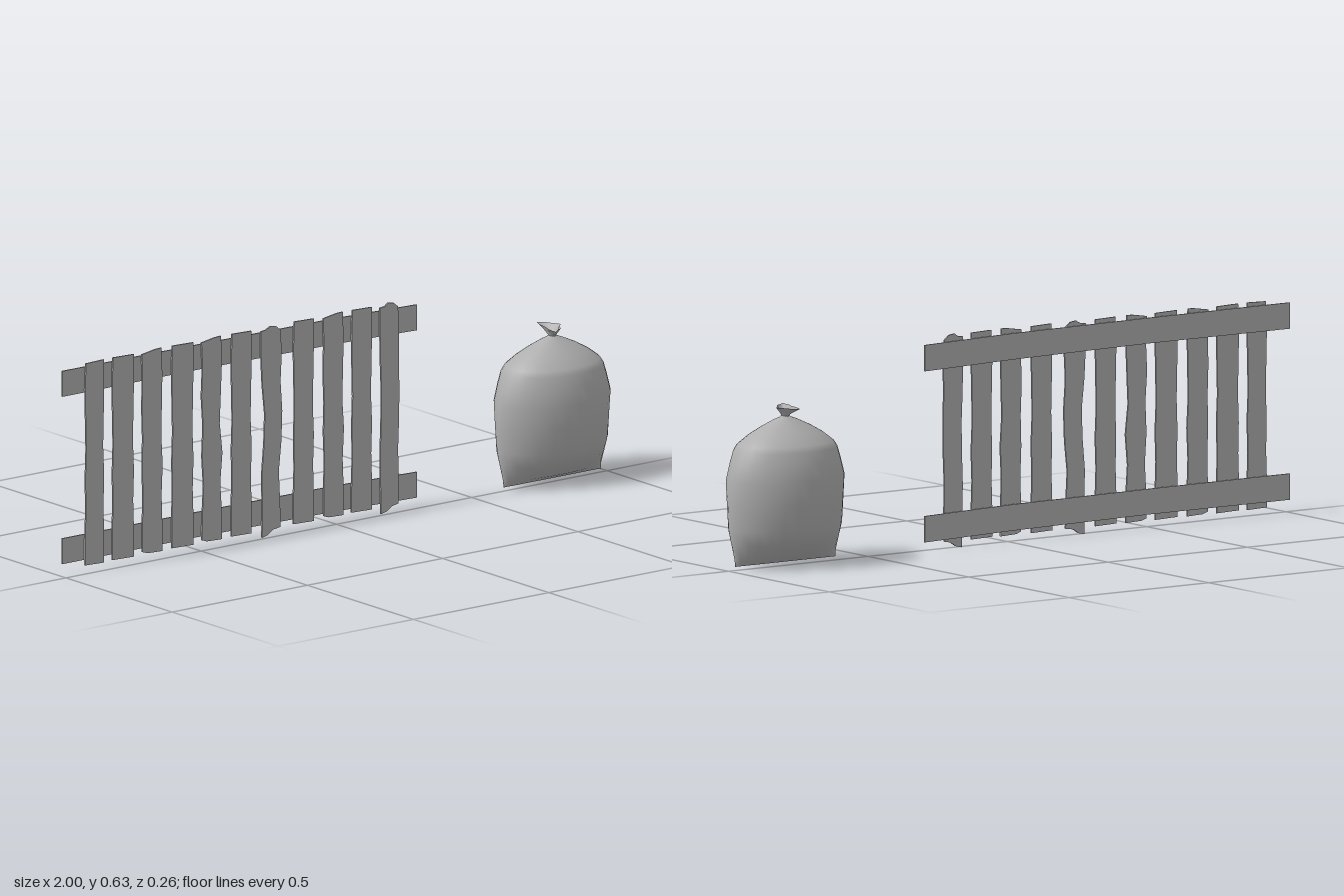
import * as THREE from 'three';

const material = new THREE.MeshStandardMaterial({ color: 0xaeaeae });
const openMaterial = new THREE.MeshStandardMaterial({ color: 0xaeaeae, side: THREE.DoubleSide });

// Flat board cut from an outline, its back at z = back
function board(name, points, back, depth) {
  const shape = new THREE.Shape(points.map(([x, y]) => new THREE.Vector2(x, y)));
  const geometry = new THREE.ExtrudeGeometry(shape, { depth, bevelEnabled: false });
  geometry.translate(0, 0, back);
  const mesh = new THREE.Mesh(geometry, material);
  mesh.name = name;
  return mesh;
}

// Skin through rows of rings, bottom to top; ring(row, angle, i) gives [x, y, z]
function loft(rows, sides, ring) {
  const position = [], index = [];
  rows.forEach((row, r) => {
    for (let i = 0; i < sides; i++) {
      position.push(...ring(row, (i / sides) * Math.PI * 2, i));
      if (r === 0) continue;
      const a = (r - 1) * sides + i, b = (r - 1) * sides + ((i + 1) % sides);
      index.push(a, b, a + sides, b, b + sides, a + sides);
    }
  });
  const geometry = new THREE.BufferGeometry();
  geometry.setAttribute('position', new THREE.Float32BufferAttribute(position, 3));
  geometry.setIndex(index);
  geometry.computeVertexNormals();
  return geometry;
}

// Side wobble of the three plank cuts, from bottom to top
const heights = [0.1, 0.19, 0.28, 0.37, 0.46, 0.55];
const cuts = {
  straight: { left: [0, 0.003, 0.001, 0.004, 0.002, 0], right: [0, -0.003, 0, -0.004, -0.002, 0] },
  wavy: { left: [0.003, 0.008, 0.002, 0.006, 0, 0.004], right: [0, -0.006, 0.002, -0.008, -0.004, 0] },
  hooked: { left: [0.006, 0.004, 0.014, 0.018, 0.006, 0], right: [-0.006, -0.012, 0, 0.004, -0.004, 0.002] },
};
// Left edge, right edge, cut, strength of the wobble
const planks = [
  [-0.92, -0.85, 'straight', 1], [-0.82, -0.74, 'straight', 1], [-0.71, -0.635, 'wavy', 0.5],
  [-0.6, -0.52, 'straight', 1], [-0.49, -0.415, 'wavy', 1], [-0.38, -0.305, 'straight', 1],
  [-0.27, -0.195, 'hooked', 0.8], [-0.15, -0.075, 'straight', 1], [-0.04, 0.035, 'wavy', 0.6],
  [0.065, 0.14, 'straight', 1], [0.17, 0.24, 'hooked', 0.3],
];

function plankOutline([x0, x1, cut, wobble], i) {
  const { left, right } = cuts[cut];
  const bottom = {
    straight: [[x0, 0.022], [x1, 0.02]],
    wavy: [[x0 + 0.002, 0.028], [x0 + 0.02, 0.022], [x1, 0.02]],
    hooked: [[x0 + 0.004, 0], [x0 + 0.025, 0.005], [x0 + 0.045, 0.018], [x1 - 0.003, 0.022]],
  }[cut];
  const tilt = i % 2 ? 0.002 : 0;
  const top = {
    straight: [[x1, 0.63 - tilt], [x0 + 0.003, 0.628 + tilt]],
    wavy: [[x1 - 0.003, 0.631], [x1 - 0.025, 0.63], [x0, 0.622]],
    hooked: [[x1 - 0.004, 0.615], [x1 - 0.02, 0.628], [x1 - 0.04, 0.631], [x0 + 0.018, 0.622], [x0, 0.62]],
  }[cut];
  return [
    ...bottom,
    ...heights.map((y, k) => [x1 + right[k] * wobble, y]),
    ...top,
    ...heights.map((y, k) => [x0 + left[k] * wobble, y]).reverse(),
  ];
}

function createFence() {
  const fence = new THREE.Group();
  fence.name = 'fence';
  planks.forEach((p, i) => fence.add(board(`plank${i + 1}`, plankOutline(p, i), -0.016, 0.005)));
  // Two rails behind the planks, sagging a little to the right
  [['lowerRail', 0.038], ['upperRail', 0.541]].forEach(([name, y]) => {
    fence.add(board(name, [
      [-1, y], [-0.5, y + 0.001], [0, y - 0.004], [0.31, y - 0.011],
      [0.31, y + 0.066], [0, y + 0.073], [-0.5, y + 0.076], [-1, y + 0.077],
    ], -0.021, 0.005));
  });
  return fence;
}

// Ragged rim of the sack's mouth, as [x, z]
const rim = [
  [0.036, -0.005], [0.022, -0.03], [0.012, -0.055], [-0.006, -0.065], [-0.014, -0.045], [-0.018, -0.02],
  [-0.022, 0], [-0.03, 0.02], [-0.034, 0.06], [-0.015, 0.045], [0.005, 0.035], [0.016, 0.012],
];

function createSack() {
  const sack = new THREE.Group();
  sack.name = 'sack';
  sack.position.x = 0.797;

  // Body: [y, half width, half depth, side pinch], from flat bottom seam to neck
  const rows = [
    [0.011, 0.18, 0.001, 1], [0.03, 0.181, 0.043, 1.4], [0.073, 0.189, 0.09, 1.4],
    [0.117, 0.197, 0.111, 1.35], [0.19, 0.198, 0.125, 1.3], [0.26, 0.198, 0.132, 1.2],
    [0.31, 0.182, 0.123, 1.1], [0.345, 0.168, 0.115, 1], [0.362, 0.157, 0.106, 1],
    [0.388, 0.122, 0.08, 1], [0.41, 0.082, 0.054, 1], [0.43, 0.038, 0.026, 1],
    [0.437, 0.018, 0.014, 1], [0.441, 0.012, 0.012, 1],
  ];
  const body = new THREE.Mesh(loft(rows, 32, ([y, w, d, pinch], a) => {
    const s = Math.sin(a);
    return [w * Math.cos(a), y, -d * Math.sign(s) * Math.abs(s) ** pinch];
  }), material);
  body.name = 'sackBody';

  // Gathered mouth: a round neck opening out to the ragged rim
  const mouthRows = [[0.436, 0], [0.443, 0], [0.453, 0.42], [0.467, 1]];
  const mouth = new THREE.Mesh(loft(mouthRows, rim.length, ([y, open], a, i) => [
    THREE.MathUtils.lerp(0.012 * Math.cos(a), rim[i][0], open),
    y,
    THREE.MathUtils.lerp(-0.013 * Math.sin(a), rim[i][1], open),
  ]), openMaterial);
  mouth.name = 'sackMouth';
  sack.add(body, mouth);
  return sack;
}

export function createModel() {
  const model = new THREE.Group();
  model.name = 'fenceAndSack';
  model.add(createFence(), createSack());
  return model;
}
